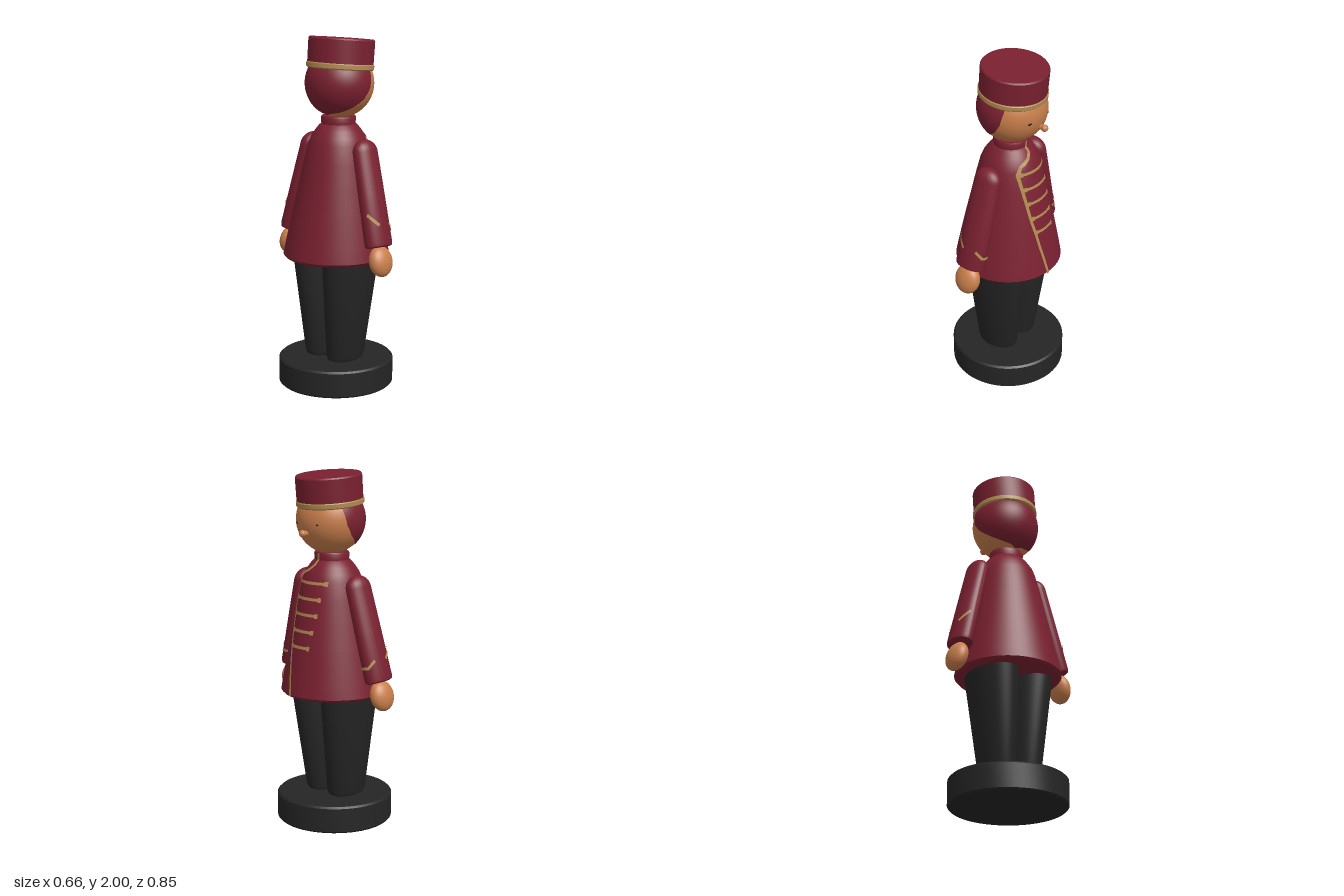
import * as THREE from 'three';
import { toCreasedNormals } from 'three/addons/utils/BufferGeometryUtils.js';
import { ParametricGeometry } from 'three/addons/geometries/ParametricGeometry.js';

const paint = (name, color, side = THREE.FrontSide) =>
  Object.assign(new THREE.MeshStandardMaterial({ color, side }), { name });

const burgundy = paint('burgundy', 0x7a2030);
const charcoal = paint('charcoal', 0x252525);
const skin = paint('skin', 0xc87e4b);
const gold = paint('gold', 0xb08a50, THREE.DoubleSide);
const eyeDark = paint('eye dark', 0x241812);

function add(parent, name, geometry, material) {
  const mesh = new THREE.Mesh(geometry, material);
  mesh.name = name;
  parent.add(mesh);
  return mesh;
}

// Turned shape, profile listed from bottom to top, with crisp corners
const turned = (profile, crease = 0.6) =>
  toCreasedNormals(new THREE.LatheGeometry(profile.map(([r, y]) => new THREE.Vector2(r, y)), 56), crease);

// Linear lookup in a table of [key, value] pairs with rising keys
function lookup(table, k) {
  for (let i = 1; i < table.length; i++) {
    const [k0, v0] = table[i - 1], [k1, v1] = table[i];
    if (k <= k1) return v0 + (v1 - v0) * Math.max(0, (k - k0) / (k1 - k0));
  }
  return table[table.length - 1][1];
}

// Braid laid on a surface: a 2D path is widened, then mapped by surface(a, b)
function braid(path, width, surface) {
  const pts = [];
  for (let i = 0; i + 1 < path.length; i++)
    for (let j = 0; j < 12; j++)
      pts.push([0, 1].map(k => path[i][k] + (path[i + 1][k] - path[i][k]) * j / 12));
  pts.push(path[path.length - 1]);
  const pos = [], index = [];
  pts.forEach((p, i) => {
    const a = pts[Math.max(i - 1, 0)], b = pts[Math.min(i + 1, pts.length - 1)];
    const dx = b[0] - a[0], dy = b[1] - a[1], s = width / 2 / Math.hypot(dx, dy);
    pos.push(...surface(p[0] + dy * s, p[1] - dx * s), ...surface(p[0] - dy * s, p[1] + dx * s));
    if (i) index.push(2 * i - 2, 2 * i, 2 * i - 1, 2 * i, 2 * i + 1, 2 * i - 1);
  });
  const g = new THREE.BufferGeometry();
  g.setAttribute('position', new THREE.Float32BufferAttribute(pos, 3));
  g.setIndex(index);
  g.computeVertexNormals();
  return g;
}

// Coat outline and its slight forward drift with height
const coatProfile = [[0, 0.75], [0.288, 0.75], [0.302, 0.765], [0.292, 0.82], [0.25, 1.03], [0.217, 1.18],
  [0.192, 1.3], [0.168, 1.4], [0.153, 1.44], [0.13, 1.475], [0.108, 1.503], [0.096, 1.512], [0.099, 1.545], [0.094, 1.555], [0, 1.555]];
const coatDrift = y => 0.003 + (y - 0.75) * 0.022;
const coatRadius = coatProfile.slice(2, 13).map(([r, y]) => [y, r]);
const onCoat = (x, y) => {
  const r = lookup(coatRadius, y) + 0.004;
  return [x, y, coatDrift(y) + Math.sqrt(Math.max(0, r * r - x * x))];
};

function addLegs(body) {
  for (const [name, side] of [['leftLeg', 1], ['rightLeg', -1]]) {
    const g = turned([[0, 0.152], [0.095, 0.152], [0.115, 0.162], [0.125, 0.185], [0.192, 0.76], [0, 0.76]]);
    const p = g.attributes.position;
    for (let i = 0; i < p.count; i++) {
      const t = (p.getY(i) - 0.155) / 0.6;
      p.setX(i, p.getX(i) * (0.7 - 0.06 * t) + side * (0.086 + 0.034 * t));
      p.setZ(i, p.getZ(i) - 0.01 * (1 - t));
    }
    add(body, name, toCreasedNormals(g, 0.6), charcoal);
  }
}

function addCoat(body) {
  const g = turned(coatProfile);
  const p = g.attributes.position;
  for (let i = 0; i < p.count; i++) p.setZ(i, p.getZ(i) + coatDrift(p.getY(i)));
  add(body, 'coat', g, burgundy);
  // Side-fastened front edge
  add(body, 'frontEdgeBraid', braid([[0, 1.55], [-0.005, 1.49], [-0.03, 1.465], [-0.09, 1.435], [-0.115, 1.395],
    [-0.11, 1.3], [-0.095, 1.12], [-0.07, 0.95], [-0.037, 0.76]], 0.016, onCoat), gold);
  // Chest bars with knobbed ends
  const bars = [[1.393, -0.11, 0.11], [1.305, -0.105, 0.09], [1.217, -0.1, 0.085], [1.125, -0.09, 0.075], [1.037, -0.085, 0.065]];
  for (const [y, a, b] of bars) {
    add(body, 'chestBar', braid([[a, y], [b, y]], 0.016, onCoat), gold);
    for (const x of [a + 0.01, b - 0.01])
      add(body, 'chestBarEnd', braid([[x - 0.01, y], [x + 0.01, y]], 0.025, onCoat), gold);
  }
}

function addArm(body, name, side) {
  const arm = new THREE.Group();
  arm.name = name;
  body.add(arm);
  arm.position.set(side * 0.213, 1.37, 0.02);
  arm.quaternion.setFromUnitVectors(new THREE.Vector3(0, -1, 0),
    new THREE.Vector3(side * 0.138, -0.51, -0.028).normalize());
  // Sleeve with domed shoulder
  const profile = [[0, -0.53], [0.072, -0.53], [0.086, -0.524], [0.09, -0.508], [0.086, -0.25]];
  for (let i = 0; i <= 8; i++) {
    const a = i / 8 * Math.PI / 2;
    profile.push([0.081 * Math.cos(a), 0.072 * Math.sin(a)]);
  }
  const flat = 0.68;
  add(arm, 'sleeve', turned(profile).scale(flat, 1, 1), burgundy);
  const onSleeve = (s, y) => {
    const a = s / 0.09, r = 0.0935;
    return [side * r * flat * Math.cos(a), y, r * Math.sin(a)];
  };
  // Slanted cuff braid in two pieces
  add(arm, 'cuffBraidFront', braid([[0.048, -0.405], [0.1, -0.44], [0.185, -0.435]], 0.016, onSleeve), gold);
  add(arm, 'cuffBraidBack', braid([[-0.1, -0.345], [-0.03, -0.41]], 0.018, onSleeve), gold);
  const hand = add(arm, 'hand', new THREE.SphereGeometry(1, 32, 24), skin);
  hand.scale.set(0.051, 0.087, 0.077);
  hand.position.set(side * -0.002, -0.608, 0);
}

function addHead(body) {
  const head = new THREE.Group();
  head.name = 'head';
  head.position.set(0, 1.736, 0.03);
  body.add(head);
  const R = 0.193;
  add(head, 'face', new THREE.SphereGeometry(R, 48, 32), skin);
  // Hair covers the back of the skull up to a curved hairline
  const hairline = [[-0.18, -0.12], [-0.166, -0.11], [-0.126, -0.05], [-0.076, 0.012], [-0.016, 0.052], [0.064, 0.07], [0.19, 0.06]];
  add(head, 'hair', new ParametricGeometry((u, v, out) => {
    const r = R + 0.003, y = -0.172 + v * 0.3;
    const rho = Math.sqrt(r * r - y * y);
    const start = Math.acos(THREE.MathUtils.clamp(lookup(hairline, y) / rho, -1, 1));
    const a = start + u * 2 * (Math.PI - start);
    out.set(rho * Math.sin(a), y, rho * Math.cos(a));
  }, 40, 30), burgundy);
  // Eyes and nose
  for (const [name, x, size] of [['leftEye', 0.08, 0.008], ['rightEye', -0.085, 0.012]]) {
    const eye = add(head, name, new THREE.SphereGeometry(1, 16, 10), eyeDark);
    const n = new THREE.Vector3(x, -0.016, Math.sqrt(R * R - x * x - 0.000256));
    eye.position.copy(n);
    eye.quaternion.setFromUnitVectors(new THREE.Vector3(0, 0, 1), n.clone().normalize());
    eye.scale.set(size, size * 0.6, 0.004);
  }
  const bridge = add(head, 'noseStem', new THREE.CylinderGeometry(0.014, 0.016, 0.05, 16), skin);
  bridge.rotation.x = Math.PI / 2;
  bridge.position.set(0, -0.066, 0.19);
  add(head, 'noseTip', new THREE.SphereGeometry(0.02, 20, 14), skin).position.set(0, -0.066, 0.209);
}

function addHat(body) {
  const hat = new THREE.Group();
  hat.name = 'hat';
  hat.position.set(0, 1.815, 0.032);
  hat.rotation.x = 0.087;
  body.add(hat);
  add(hat, 'hatCrown', turned([[0, 0.005], [0.185, 0.005], [0.186, 0.162], [0.18, 0.17], [0, 0.17]]), burgundy);
  add(hat, 'hatBand', turned([[0, 0], [0.184, 0], [0.19, 0.006], [0.19, 0.028], [0.186, 0.033], [0, 0.033]]), gold);
}

export function createModel() {
  const model = new THREE.Group();
  model.name = 'uniformedFigurine';
  // The figure is built facing +z and turned to face +x
  const body = new THREE.Group();
  body.name = 'figure';
  body.rotation.y = Math.PI / 2;
  model.add(body);
  add(body, 'base', turned([[0, 0], [0.32, 0], [0.33, 0.01], [0.33, 0.145], [0.32, 0.155], [0, 0.155]]), charcoal);
  addLegs(body);
  addCoat(body);
  addArm(body, 'leftArm', 1);
  addArm(body, 'rightArm', -1);
  addHead(body);
  addHat(body);
  return model;
}
